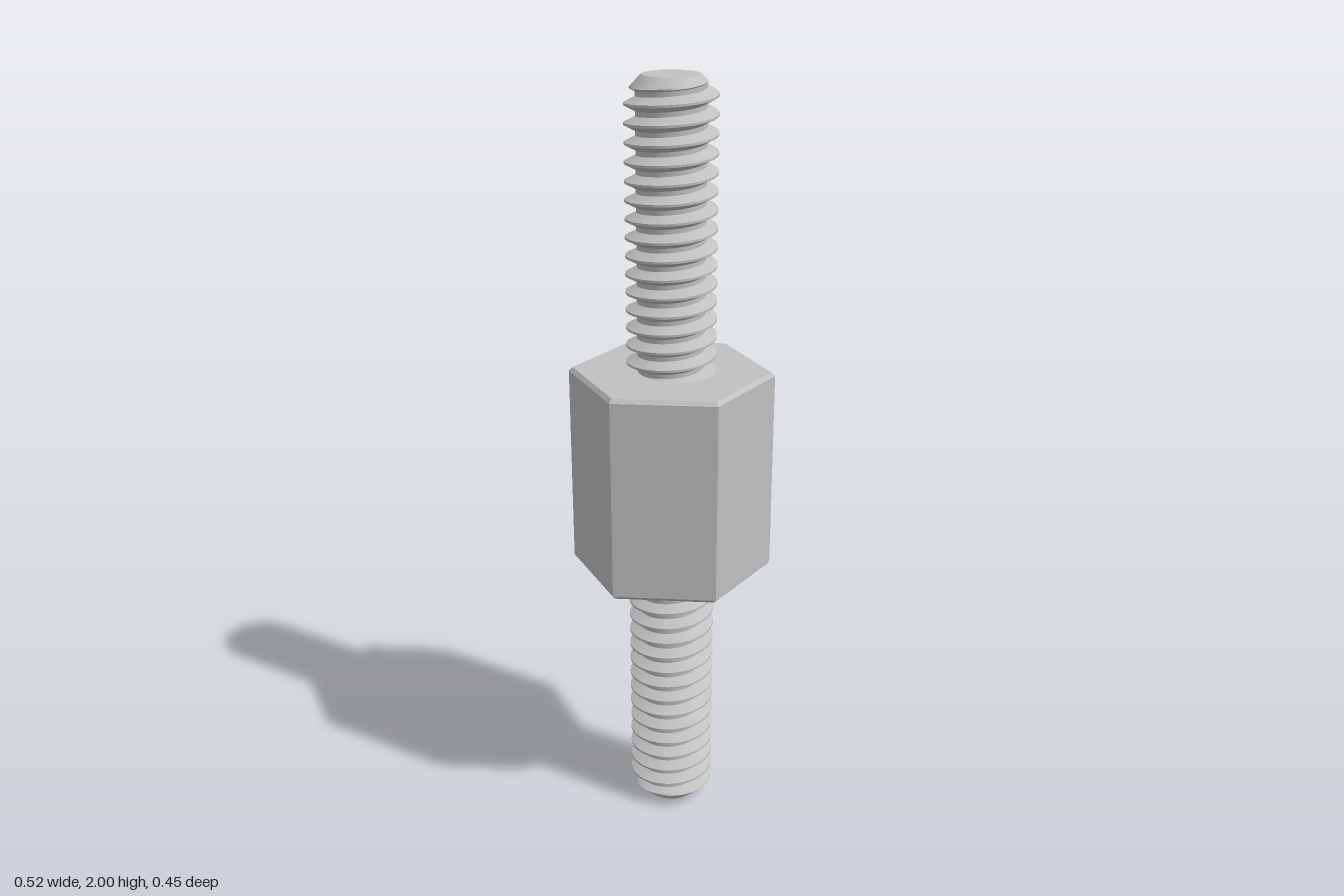
import * as THREE from 'three';
import { toCreasedNormals } from 'three/addons/utils/BufferGeometryUtils.js';

const LENGTH = 2, HEX_HEIGHT = 0.5455, HEX_RADIUS = 0.2624;
const PITCH = 0.04545, CREST = 0.1136, ROOT = 0.0858, TIP = 0.071;
const ROD_START = HEX_HEIGHT / 2 - 0.01, ROD_END = LENGTH / 2;

// Radius of the thread at a height and angle, cut by the end chamfer
function threadRadius(y, angle) {
  const phase = y / PITCH - angle / (2 * Math.PI);
  const u = phase - Math.floor(phase);
  const fromCrest = Math.min(u, 1 - u);
  const flank = THREE.MathUtils.clamp((fromCrest - 0.0625) / (0.375 - 0.0625), 0, 1);
  return Math.min(THREE.MathUtils.lerp(CREST, ROOT, flank), TIP + ROD_END - y);
}

// Right-handed thread swept along its helix, so crests stay sharp
function makeThread() {
  const steps = [0.0625, 0.14, 0.22, 0.3, 0.375, 0.625, 0.7, 0.78, 0.86, 0.9375];
  const segments = 48;
  const firstTurn = Math.floor(ROD_START / PITCH) - 2;
  const lastTurn = Math.ceil(ROD_END / PITCH) + 1;
  const rows = [];
  for (let turn = firstTurn; turn <= lastTurn; turn++) {
    for (const s of steps) rows.push(turn + s);
  }

  const point = (row, i) => {
    const angle = (i / segments) * 2 * Math.PI;
    const y = THREE.MathUtils.clamp(PITCH * (row + i / segments), ROD_START, ROD_END);
    const r = threadRadius(y, angle);
    return new THREE.Vector3(r * Math.cos(angle), y, -r * Math.sin(angle));
  };

  const positions = [];
  const triangle = new THREE.Triangle();
  const addTriangle = (a, b, c) => {
    triangle.set(a, b, c);
    if (triangle.getArea() < 1e-9) return;
    for (const p of [a, b, c]) positions.push(p.x, p.y, p.z);
  };
  for (let j = 0; j < rows.length - 1; j++) {
    for (let i = 0; i < segments; i++) {
      const a = point(rows[j], i), b = point(rows[j], i + 1);
      const c = point(rows[j + 1], i + 1), d = point(rows[j + 1], i);
      addTriangle(a, b, c);
      addTriangle(a, c, d);
    }
  }
  const geometry = new THREE.BufferGeometry();
  geometry.setAttribute('position', new THREE.Float32BufferAttribute(positions, 3));
  // Creasing merges points on a coarse grid, so it is done at a larger scale
  geometry.scale(100, 100, 100);
  const creased = toCreasedNormals(geometry, 0.5);
  creased.scale(0.01, 0.01, 0.01);
  return creased;
}

// Hexagonal body with a small chamfer on both ends
function makeHexBody() {
  const h = HEX_HEIGHT / 2, chamfer = 0.01;
  const profile = [
    [0, -h], [HEX_RADIUS - chamfer, -h], [HEX_RADIUS, -h + chamfer],
    [HEX_RADIUS, h - chamfer], [HEX_RADIUS - chamfer, h], [0, h],
  ].map(([x, y]) => new THREE.Vector2(x, y));
  const geometry = new THREE.LatheGeometry(profile, 6, Math.PI / 6).toNonIndexed();
  geometry.computeVertexNormals();
  return geometry;
}

export function createModel() {
  const steel = new THREE.MeshStandardMaterial({ color: 0xc0c0c0 });
  steel.name = 'steel grey';

  const model = new THREE.Group();
  model.name = 'threadedStandoff';

  const body = new THREE.Mesh(makeHexBody(), steel);
  body.name = 'hexBody';
  body.position.y = LENGTH / 2;
  model.add(body);

  // Two equal studs, the lower one turned end for end
  const thread = makeThread();
  const endFace = new THREE.CircleGeometry(TIP, 48).rotateX(-Math.PI / 2);
  for (const [name, turn] of [['upperStud', 0], ['lowerStud', Math.PI]]) {
    const stud = new THREE.Group();
    stud.name = name;
    const threadMesh = new THREE.Mesh(thread, steel);
    threadMesh.name = 'thread';
    const faceMesh = new THREE.Mesh(endFace, steel);
    faceMesh.name = 'endFace';
    faceMesh.position.y = ROD_END;
    stud.add(threadMesh, faceMesh);
    stud.rotation.x = turn;
    stud.position.y = LENGTH / 2;
    model.add(stud);
  }
  return model;
}
